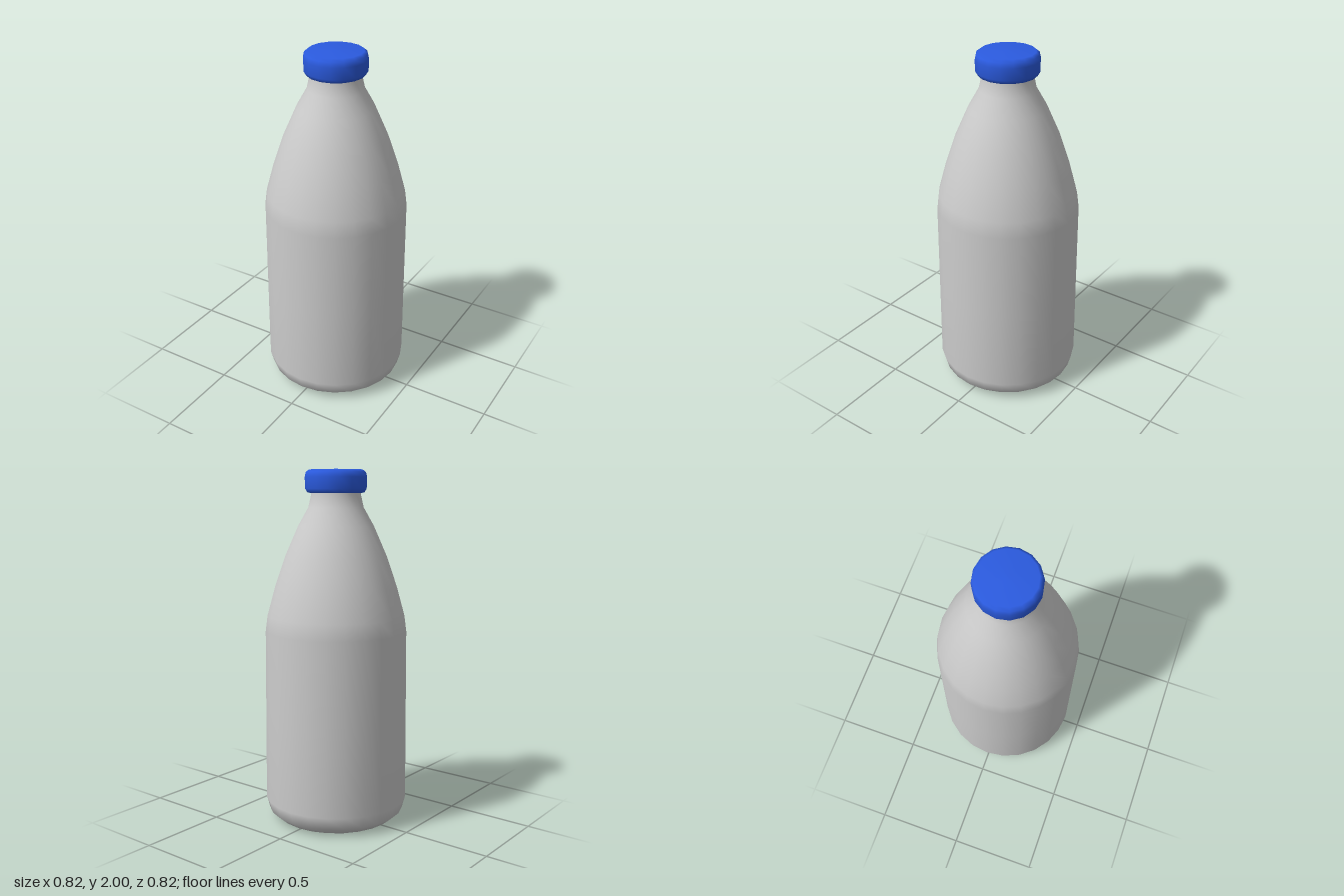
import * as THREE from 'three';

// Smooth turned part from [radius, height] pairs, listed bottom to top
function turned(name, profile, sides, color) {
  const points = profile.map(([r, y]) => new THREE.Vector2(r, y));
  const mesh = new THREE.Mesh(
    new THREE.LatheGeometry(points, sides),
    new THREE.MeshStandardMaterial({ color })
  );
  mesh.name = name;
  return mesh;
}

export function createModel() {
  const model = new THREE.Group();
  model.name = 'milkBottle';

  // Glass body: flat base, rounded foot, straight wall, sloping shoulder, neck
  model.add(turned('bottleBody', [
    [0, 0], [0.34, 0.008], [0.39, 0.05], [0.409, 0.12], [0.405, 0.6],
    [0.401, 1.1], [0.389, 1.19], [0.345, 1.35], [0.287, 1.52],
    [0.212, 1.69], [0.155, 1.79], [0.139, 1.86], [0.138, 1.9],
  ], 24, 0xcccccc));

  // Cap: closed underside around the neck, rounded rim, flat top
  model.add(turned('cap', [
    [0.13, 1.87], [0.158, 1.87], [0.172, 1.892], [0.174, 1.955],
    [0.168, 1.982], [0.15, 1.996], [0, 2],
  ], 16, 0x2b5be0));

  return model;
}
